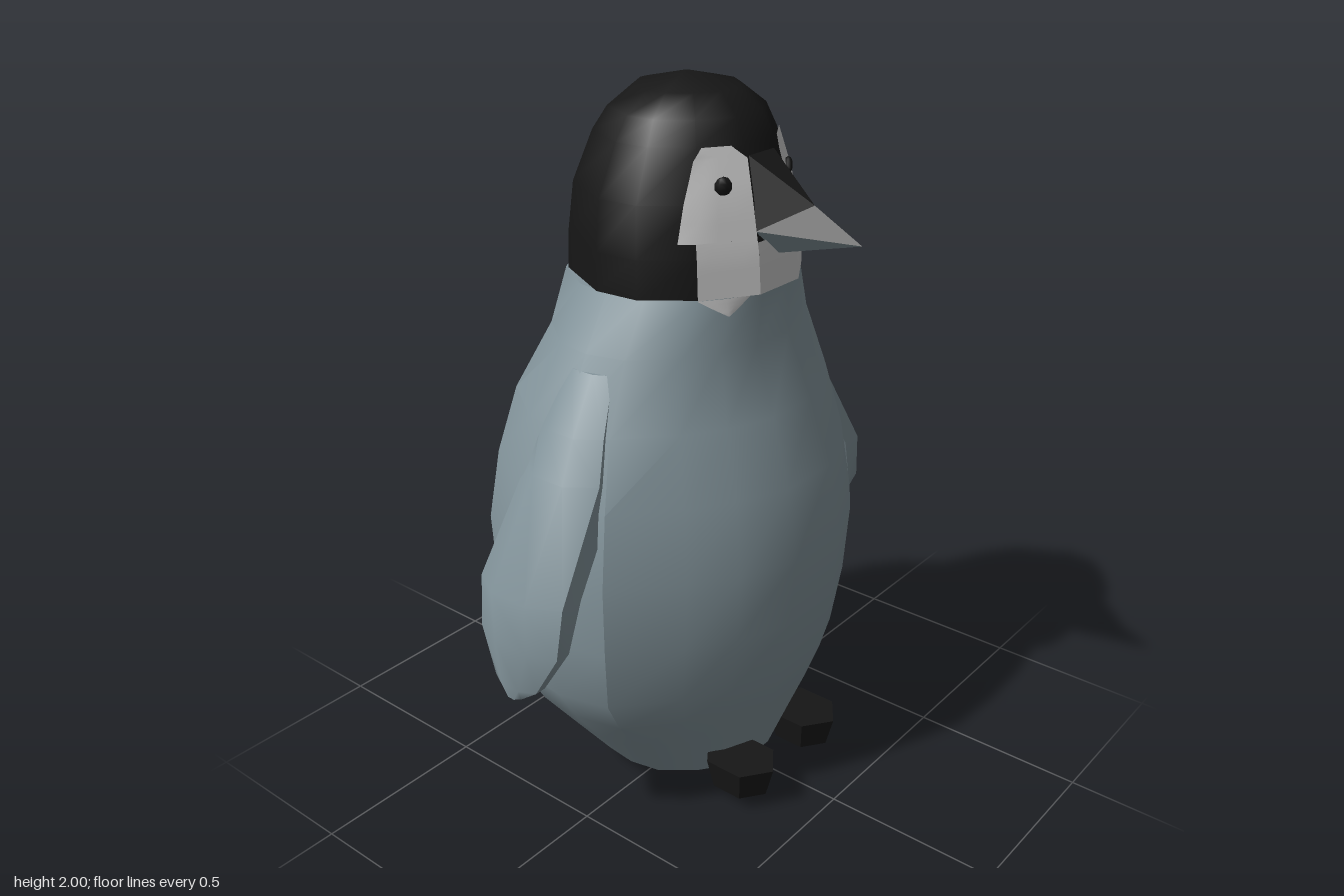
import * as THREE from 'three';
import { toCreasedNormals } from 'three/addons/utils/BufferGeometryUtils.js';

const V = (x, y, z) => new THREE.Vector3(x, y, z);
const paint = (color, side = THREE.FrontSide) =>
  new THREE.MeshStandardMaterial({ color, side });

// Closed plan outline from its +x half, listed front to back as unit x, z
const mirrored = (half) => [...half, ...half.map(([x, z]) => [-x, z]).reverse()];

// Outline rows: height, half width, front z, back z, roundness of the plan
const BODY = {
  plan: mirrored([[0.175, 1], [0.44, 0.86], [0.65, 0.68], [0.93, 0.37],
    [1, 0.03], [0.98, -0.31], [0.74, -0.77], [0.3, -1]]),
  rows: [
    [0.05, 0.28, 0.23, -0.30, 0.5], [0.20, 0.395, 0.285, -0.37, 0.2],
    [0.32, 0.485, 0.33, -0.43, 0], [0.42, 0.54, 0.365, -0.485, 0],
    [0.60, 0.565, 0.395, -0.497, 0], [0.80, 0.575, 0.41, -0.505, 0],
    [1.00, 0.54, 0.375, -0.475, 0], [1.18, 0.48, 0.315, -0.44, 0.3],
    [1.36, 0.39, 0.25, -0.36, 0.8], [1.50, 0.315, 0.255, -0.355, 1],
  ],
};
const HEAD = {
  plan: mirrored([[0.25, 1], [0.68, 0.72], [0.97, 0.33], [1, -0.07], [0.7, -0.68], [0.1, -1]]),
  rows: [
    [1.50, 0.317, 0.257, -0.357, 0], [1.60, 0.313, 0.25, -0.352, 0],
    [1.73, 0.295, 0.225, -0.335, 0], [1.86, 0.24, 0.19, -0.285, 0],
    [1.92, 0.21, 0.16, -0.24, 0], [1.97, 0.14, 0.10, -0.18, 0],
    [2.00, 0.012, -0.03, -0.05, 0],
  ],
};

// Corner of an outline row
function corner({ plan }, [y, w, f, b, round], j) {
  const [x, z] = plan[(j + plan.length) % plan.length];
  const k = 1 + (1 / Math.hypot(x, z) - 1) * round;
  return V(w * x * k, y, (f + b) / 2 + ((f - b) / 2) * z * k);
}

// Point on the faceted skin, lifted off by a small gap. u counts facets from
// the middle of the front: positive toward +x, corners at 0.5, 1.5, ...
function skin(shape, y, u, gap) {
  const { rows } = shape;
  let i = 0;
  while (i < rows.length - 2 && y > rows[i + 1][0]) i++;
  const t = (y - rows[i][0]) / (rows[i + 1][0] - rows[i][0]);
  const row = rows[i].map((v, k) => v + (rows[i + 1][k] - v) * t);
  const j = Math.floor(u - 0.5);
  const p = corner(shape, row, j).lerp(corner(shape, row, j + 1), u - 0.5 - j);
  const out = V(p.x, 0, p.z + 0.05).normalize();
  return p.addScaledVector(out, gap);
}

function fromTriangles(points) {
  const g = new THREE.BufferGeometry().setFromPoints(points);
  g.computeVertexNormals();
  return g;
}

// Closed skin through rings listed from bottom to top
function loft(rings, crease) {
  const tri = [];
  const n = rings[0].length;
  const mid = (r) => r.reduce((s, p) => s.add(p), V(0, 0, 0)).divideScalar(n);
  const low = rings[0], high = rings[rings.length - 1];
  const lowMid = mid(low), highMid = mid(high);
  for (let j = 0; j < n; j++) {
    const k = (j + 1) % n;
    for (let i = 0; i < rings.length - 1; i++) {
      const a = rings[i], b = rings[i + 1];
      tri.push(a[j], a[k], b[k], a[j], b[k], b[j]);
    }
    tri.push(lowMid, low[k], low[j], highMid, high[j], high[k]);
  }
  return toCreasedNormals(fromTriangles(tri), crease);
}

const outlineRings = (shape) =>
  shape.rows.map((row) => shape.plan.map((_, j) => corner(shape, row, j)));

// Colour marking laid on the skin; marks are height, start u, end u
function marking(shape, marks) {
  const tri = [], cuts = 4;
  for (let i = 0; i < marks.length - 1; i++) {
    const at = (s, t) => {
      const [y, a, b] = marks[i].map((m, k) => m + (marks[i + 1][k] - m) * t);
      return skin(shape, y, a + (b - a) * s, 0.006);
    };
    for (let s = 0; s < cuts; s++) {
      for (let t = 0; t < cuts; t++) {
        const a = at(s / cuts, t / cuts), b = at((s + 1) / cuts, t / cuts);
        const c = at((s + 1) / cuts, (t + 1) / cuts), d = at(s / cuts, (t + 1) / cuts);
        tri.push(a, b, c, a, c, d);
      }
    }
  }
  return toCreasedNormals(fromTriangles(tri), 0.5);
}

export function createModel() {
  const model = new THREE.Group();
  model.name = 'penguinChick';
  const grey = paint(0x84959c), black = paint(0x161616);
  const greyThin = paint(0x84959c, THREE.DoubleSide);
  const blackThin = paint(0x161616, THREE.DoubleSide);
  const whiteThin = paint(0xdddddd, THREE.DoubleSide);
  const add = (name, geometry, material) => {
    const mesh = new THREE.Mesh(geometry, material);
    mesh.name = name;
    model.add(mesh);
    return mesh;
  };

  add('body', loft(outlineRings(BODY), 0.55), grey);
  add('head', loft(outlineRings(HEAD), 0.75), black);

  // White face
  add('leftCheek', marking(HEAD, [[1.5, 0.5, 1.5], [1.83, 0.5, 1.5], [1.86, 0.7, 1.5]]), whiteThin);
  add('rightCheek', marking(HEAD, [[1.5, -1.5, -0.5], [1.64, -1.5, -0.5]]), whiteThin);
  add('rightBrow', marking(HEAD, [[1.64, -1.8, -0.5], [1.83, -1.55, -0.5], [1.86, -1.4, -0.8]]), whiteThin);
  add('chin', marking(HEAD, [[1.5, -0.5, 0.5], [1.63, -0.5, 0.5]]), whiteThin);
  add('throatTip', marking(BODY, [[1.455, -1.52, -1.48], [1.5, -2.5, -0.9]]), whiteThin);

  // Narrow markings down the back
  add('napeStripe', marking(HEAD, [[1.5, -5.3, -5.08], [1.71, -5.3, -5.05]]), whiteThin);
  add('neckStripe', marking(BODY, [[1.33, -7.53, -7.48], [1.5, -7.65, -7.3]]), whiteThin);
  add('backStripe', marking(BODY, [[0.78, -7.54, -7.5], [1.08, -7.65, -7.5], [1.33, -7.53, -7.5]]), blackThin);

  // Beak: dark bridge and right side, grey left side and underside
  const browL = V(0.06, 1.85, 0.17), browR = V(-0.06, 1.85, 0.17);
  const ridge = V(0, 1.725, 0.36), tip = V(0, 1.65, 0.5);
  const left = V(0.075, 1.655, 0.24), right = V(-0.075, 1.655, 0.24), under = V(0, 1.585, 0.25);
  add('beakBridge', fromTriangles([
    browR, ridge, browL, browL, ridge, left, browR, right, ridge, ridge, right, tip]), blackThin);
  add('beak', fromTriangles([ridge, tip, left, left, tip, under, right, under, tip]), greyThin);

  // Flipper sections: centre x, height, half thickness, half depth
  const flipper = loft([
    [0.695, 0.51, 0.024, 0.025], [0.683, 0.545, 0.038, 0.075], [0.658, 0.66, 0.054, 0.138],
    [0.628, 0.80, 0.082, 0.147], [0.455, 1.07, 0.098, 0.128], [0.425, 1.18, 0.075, 0.11],
    [0.365, 1.32, 0.045, 0.08],
  ].map(([x, y, w, d]) => Array.from({ length: 8 }, (_, j) => {
    const a = (j + 0.5) * Math.PI / 4;
    return V(x + w * 1.06 * Math.sin(a), y, -0.04 + d * 1.06 * Math.cos(a));
  })), 0.9);

  for (const s of [1, -1]) {
    const side = s > 0 ? 'left' : 'right';
    add(side + 'Flipper', flipper, grey).scale.x = s;

    const eye = add(side + 'Eye', new THREE.SphereGeometry(0.024, 7, 5), black);
    eye.position.copy(skin(HEAD, 1.77, s, 0.008));
    eye.rotation.y = s * 0.55;
    eye.scale.z = 0.5;

    const foot = add(side + 'Foot',
      toCreasedNormals(new THREE.CylinderGeometry(0.092, 0.073, 0.09, 6), 0.3), black);
    foot.position.set(s * 0.15, 0.095, 0.275);
    foot.scale.z = 1.25;
  }

  // Tail wedge under the back
  const root = V(0, 0.05, -0.03), end = V(0, 0.005, -0.29);
  const tl = V(0.075, 0.05, -0.3), tr = V(-0.075, 0.05, -0.3);
  add('tail', fromTriangles([root, tl, end, root, end, tr, tl, tr, end]), greyThin);

  return model;
}
